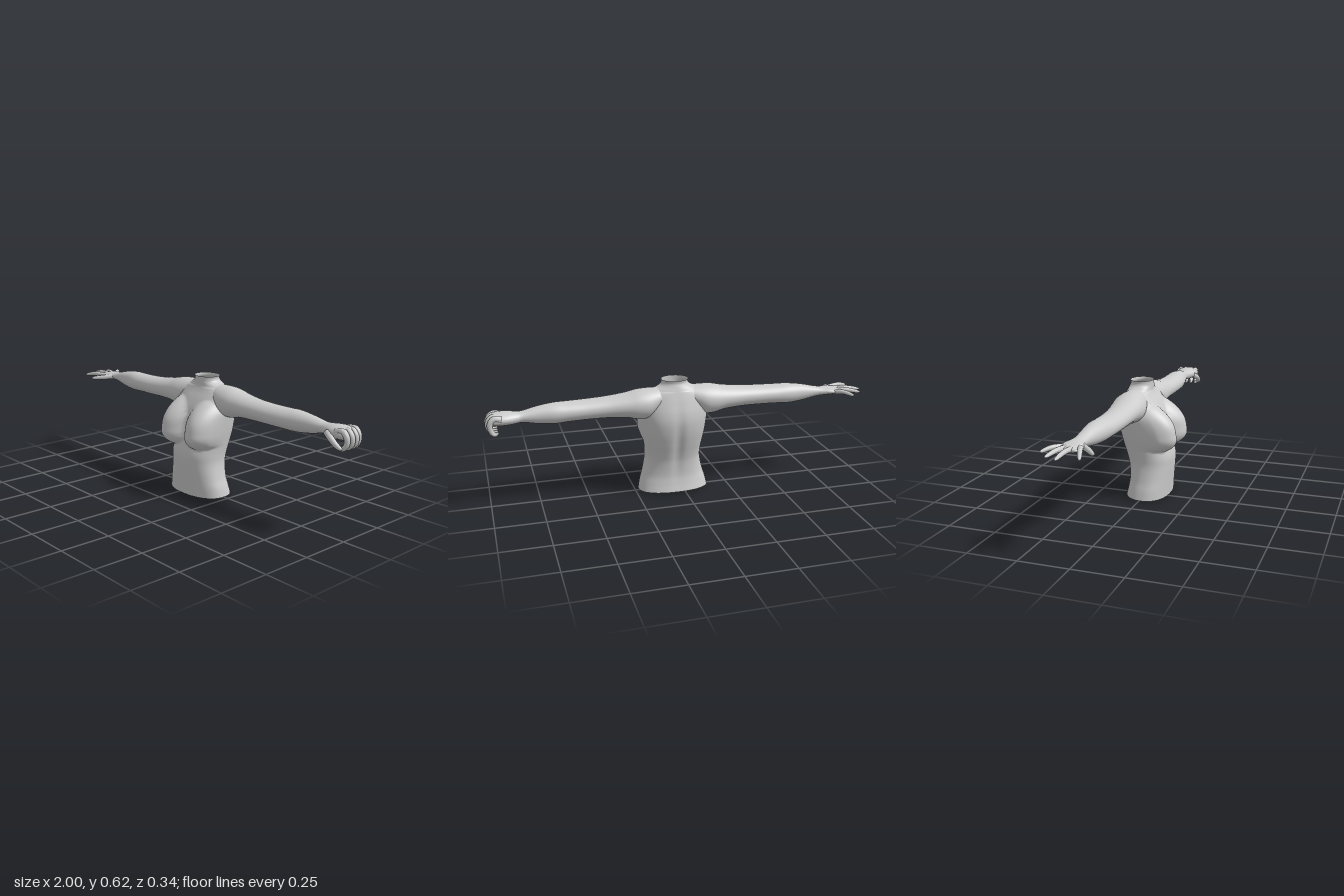
import * as THREE from 'three';

const skin = new THREE.MeshStandardMaterial({ color: 0xcccccc, side: THREE.DoubleSide });

// Smooth interpolation through rows of key measurements, t in 0..1
function sampleKeys(keys, t) {
  const n = keys.length - 1;
  const i = Math.min(Math.floor(t * n), n - 1);
  const f = t * n - i;
  const at = (k) => keys[Math.max(0, Math.min(n, k))];
  return keys[0].map((_, c) => {
    const [a, b, d, e] = [at(i - 1)[c], at(i)[c], at(i + 1)[c], at(i + 2)[c]];
    return b + 0.5 * f * (d - a + f * (2 * a - 5 * b + 4 * d - e + f * (3 * (b - d) + e - a)));
  });
}

// Skin stretched over closed cross-sections; place(key, cos, sin) gives a point
function loft(name, keys, rows, around, place) {
  const pos = [], index = [];
  for (let i = 0; i <= rows; i++) {
    const key = sampleKeys(keys, i / rows);
    for (let j = 0; j < around; j++) {
      const th = (j / around) * Math.PI * 2;
      pos.push(...place(key, Math.cos(th), Math.sin(th)));
      if (i === rows) continue;
      const a = i * around + j, c = i * around + (j + 1) % around;
      index.push(a, a + around, c, a + around, c + around, c);
    }
  }
  const geo = new THREE.BufferGeometry();
  geo.setAttribute('position', new THREE.Float32BufferAttribute(pos, 3));
  geo.setIndex(index);
  geo.computeVertexNormals();
  const mesh = new THREE.Mesh(geo, skin);
  mesh.name = name;
  return mesh;
}

// Tapered, round-tipped digit along a curve
function digit(name, points, radius) {
  const curve = new THREE.CatmullRomCurve3(points.map((p) => new THREE.Vector3(...p)));
  const seg = 24, sides = 12;
  const geo = new THREE.TubeGeometry(curve, seg, radius, sides);
  const pos = geo.attributes.position, v = new THREE.Vector3();
  for (let i = 0; i <= seg; i++) {
    const u = i / seg, c = curve.getPointAt(u);
    const k = (1 - 0.35 * u) * Math.sqrt(Math.max(0, 1 - u ** 10));
    for (let j = 0; j <= sides; j++) {
      const n = i * (sides + 1) + j;
      v.fromBufferAttribute(pos, n).sub(c).multiplyScalar(k).add(c);
      pos.setXYZ(n, v.x, v.y, v.z);
    }
  }
  const mesh = new THREE.Mesh(geo, skin);
  mesh.name = name;
  return mesh;
}

// Torso rows: height, half width, back z, front z
const torsoKeys = [
  [0, 0.187, -0.107, 0.118], [0.05, 0.177, -0.098, 0.122], [0.10, 0.162, -0.092, 0.127],
  [0.17, 0.148, -0.098, 0.134], [0.22, 0.148, -0.11, 0.135], [0.28, 0.155, -0.128, 0.12],
  [0.34, 0.163, -0.143, 0.105], [0.40, 0.17, -0.15, 0.1], [0.45, 0.175, -0.145, 0.085],
  [0.50, 0.172, -0.132, 0.058], [0.54, 0.155, -0.12, 0.032], [0.565, 0.12, -0.112, 0.02],
  [0.585, 0.08, -0.105, 0.02], [0.60, 0.069, -0.1, 0.02], [0.615, 0.07, -0.102, 0.02],
];

function torsoPoint([y, half, back, front], c, s) {
  const round = (v, p) => Math.sign(v) * Math.abs(v) ** p;
  const p = y > 0.56 ? 1 : 0.87;
  let x = half * round(c, p);
  let z = (front + back) / 2 + ((front - back) / 2) * round(s, p);
  // breasts: full below, sloping gently up to the collar
  if (s > -0.2) {
    const dx = (Math.abs(x) - 0.098) / 0.1;
    const dy = (y - 0.335) / (y > 0.335 ? 0.17 : 0.08);
    const bump = Math.max(0, 1 - dx * dx - dy * dy) ** 0.85 * Math.min(1, (s + 0.2) / 0.6);
    z += 0.084 * bump;
    x += Math.sign(x) * 0.022 * bump;
  }
  // grooves along the spine and the middle of the abdomen
  const groove = Math.exp(-((x / 0.025) ** 2)) * Math.exp(-(((y - 0.28) / 0.16) ** 2));
  z += (s < 0 ? 0.012 : -0.006) * groove;
  // waist edge sits slightly higher at the back
  const lift = y < 0.05 ? 0.01 * (1 - y / 0.05) * (0.5 - s / 2) : 0;
  return [x, y + lift, z];
}

// Arm rows: distance from the midline, bottom y, top y, back z, front z
const armKeys = [
  [0.05, 0.49, 0.578, -0.10, 0.005], [0.10, 0.46, 0.577, -0.12, 0.02],
  [0.15, 0.425, 0.577, -0.135, 0.034], [0.20, 0.422, 0.573, -0.135, 0.037],
  [0.26, 0.435, 0.56, -0.125, 0.033], [0.35, 0.44, 0.548, -0.111, 0.03],
  [0.45, 0.44, 0.542, -0.105, 0.028], [0.55, 0.438, 0.54, -0.105, 0.022],
  [0.62, 0.435, 0.54, -0.104, 0.011], [0.70, 0.443, 0.53, -0.094, -0.005],
  [0.77, 0.457, 0.515, -0.088, -0.018],
];
const openPalm = [
  [0.81, 0.463, 0.509, -0.093, -0.018], [0.85, 0.467, 0.507, -0.106, -0.004],
  [0.89, 0.47, 0.501, -0.107, 0], [0.92, 0.474, 0.495, -0.098, -0.01],
  [0.925, 0.484, 0.485, -0.06, -0.05],
];
const fistPalm = [
  [0.80, 0.455, 0.513, -0.093, -0.012], [0.84, 0.452, 0.517, -0.107, 0.003],
  [0.88, 0.452, 0.518, -0.112, 0.008], [0.92, 0.458, 0.51, -0.108, 0.004],
  [0.932, 0.484, 0.485, -0.06, -0.05],
];

function arm(name, palm) {
  const point = ([x, y0, y1, z0, z1], c, s) =>
    [x, (y0 + y1) / 2 + ((y1 - y0) / 2) * s, (z0 + z1) / 2 + ((z1 - z0) / 2) * c];
  return loft(name, [...armKeys, ...palm], 90, 40, point);
}

export function createModel() {
  const model = new THREE.Group();
  const body = new THREE.Group();
  body.name = 'upperBody';
  body.position.x = 0.045;
  model.add(body);
  body.add(loft('torso', torsoKeys, 112, 112, torsoPoint));

  // left arm with a closed hand
  const left = new THREE.Group();
  left.name = 'leftArm';
  left.add(arm('leftArmSkin', fistPalm));
  ['index', 'middle', 'ring', 'little'].forEach((finger, i) => {
    const z = -0.01 - i * 0.03, d = [0, 0.004, 0.002, -0.006][i];
    left.add(digit(finger + 'FingerCurled', [
      [0.875, 0.494, z], [0.915 + d, 0.498, z], [0.936 + d, 0.475, z],
      [0.934 + d, 0.44, z], [0.912, 0.42, z], [0.89, 0.43, z],
    ], 0.0175));
  });
  left.add(digit('thumbCurled', [
    [0.83, 0.482, -0.005], [0.865, 0.465, 0.013], [0.90, 0.44, 0.016], [0.925, 0.42, 0.005],
  ], 0.0175));
  body.add(left);

  // right arm with an open, spread hand
  const right = new THREE.Group();
  right.name = 'rightArm';
  right.scale.x = -1;
  right.add(arm('rightArmSkin', openPalm));
  const spread = [
    ['index', -0.012, 1.01, 0.042], ['middle', -0.04, 1.045, -0.055],
    ['ring', -0.066, 1.02, -0.112], ['little', -0.09, 0.957, -0.165],
  ];
  for (const [finger, z, tipX, tipZ] of spread) {
    right.add(digit(finger + 'FingerOpen', [
      [0.875, 0.486, z], [(0.875 + tipX) / 2, 0.489, (z + tipZ) / 2], [tipX, 0.476, tipZ],
    ], 0.0145));
  }
  right.add(digit('thumbOpen', [
    [0.82, 0.484, -0.035], [0.86, 0.478, 0.015], [0.91, 0.472, 0.065],
  ], 0.0165));
  body.add(right);

  return model;
}
